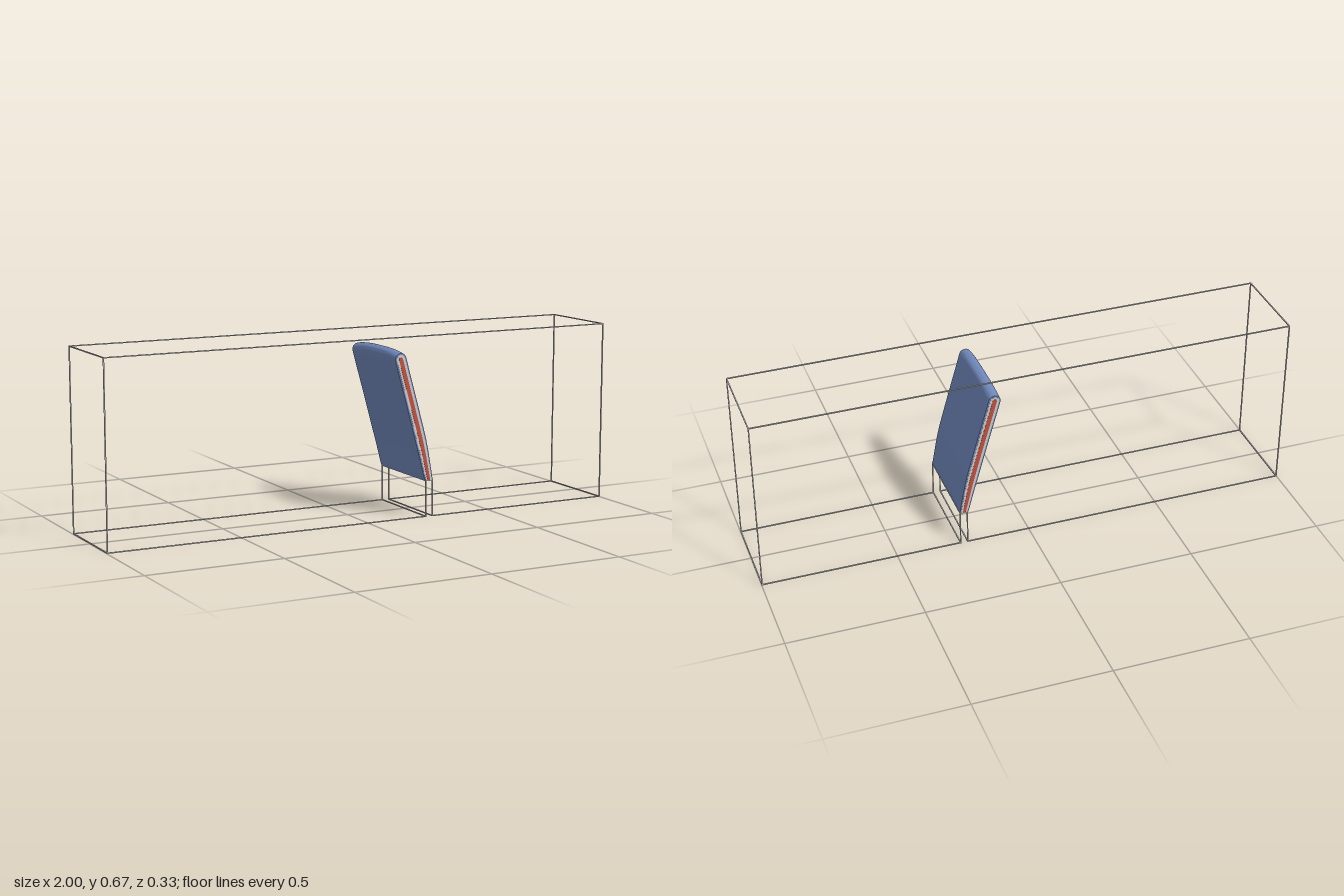
import * as THREE from 'three';
import { toCreasedNormals } from 'three/addons/utils/BufferGeometryUtils.js';

const W = 1, H = 0.667, D = 0.1667;          // half length, height, half depth of the frame
const BAR = 0.004;                            // thickness of the frame wires
const NOTCH = { x0: 0.235, x1: 0.262, y: 0.135 };

const mat = (color) => new THREE.MeshStandardMaterial({ color });

// Centre line of the leaning plate, from its foot to the middle of its round tip
const spine = new THREE.CatmullRomCurve3([
  new THREE.Vector3(0.247, 0.135, 0),
  new THREE.Vector3(0.222, 0.26, 0),
  new THREE.Vector3(0.183, 0.41, 0),
  new THREE.Vector3(0.129, 0.597, 0),
]);

// Outline around the spine: up one side, round the tip, down the other
function plateShape(scale) {
  const n = 20, right = [], left = [], tip = [];
  for (let i = 0; i <= n; i++) {
    const t = i / n, p = spine.getPoint(t), d = spine.getTangent(t);
    const r = scale * (0.016 + 0.006 * Math.min(1, t * 2.5));
    right.push(new THREE.Vector2(p.x + d.y * r, i ? p.y - d.x * r : NOTCH.y));
    left.unshift(new THREE.Vector2(p.x - d.y * r, i ? p.y + d.x * r : NOTCH.y));
    if (i === n) {
      const a0 = Math.atan2(-d.x, d.y);
      for (let k = 1; k < 12; k++) {
        const a = a0 + (Math.PI * k) / 12;
        tip.push(new THREE.Vector2(p.x + Math.cos(a) * r, p.y + Math.sin(a) * r));
      }
    }
  }
  return new THREE.Shape([...right, ...tip, ...left]);
}

// One layer of the plate; inner layers reach slightly further so they show at the ends and foot
function plateLayer(name, color, scale, reach) {
  const half = 0.165 + reach;
  const geo = new THREE.ExtrudeGeometry(plateShape(scale), {
    depth: 2 * half, steps: 16, bevelEnabled: false,
  });
  geo.translate(0, -reach, -half);
  const pos = geo.attributes.position;
  for (let i = 0; i < pos.count; i++) {
    // The plate sags a little towards both ends
    const up = Math.max(0, (pos.getY(i) - NOTCH.y) / 0.48);
    const edge = Math.abs(pos.getZ(i) / half) ** 3;
    pos.setY(i, pos.getY(i) - 0.011 * up * edge);
    pos.setX(i, pos.getX(i) - 0.003 * up * (1 - up) * 4 * edge);
  }
  const mesh = new THREE.Mesh(toCreasedNormals(geo, 0.6), mat(color));
  mesh.name = name;
  return mesh;
}

// Thin straight wire along one axis between two points
function wire(a, b, material) {
  const size = b.map((v, i) => Math.abs(v - a[i]) + BAR);
  const mesh = new THREE.Mesh(new THREE.BoxGeometry(...size), material);
  mesh.position.set(...a.map((v, i) => (v + b[i]) / 2));
  mesh.name = 'frameWire';
  return mesh;
}

export function createModel() {
  const model = new THREE.Group();

  // Leaning plate: blue skin, pale middle layer, red core
  const plate = new THREE.Group();
  plate.name = 'leaningPlate';
  plate.add(
    plateLayer('plateSkin', 0x7088bb, 1, 0),
    plateLayer('plateMiddle', 0xcccccc, 0.75, 0.0006),
    plateLayer('plateCore', 0xc0503f, 0.36, 0.0012),
  );
  model.add(plate);

  // Wire frame of a long box whose floor steps up under the plate
  const frame = new THREE.Group();
  frame.name = 'boxFrame';
  const grey = mat(0xcccccc);
  const h = BAR / 2, z = D - h;
  const corners = [
    [-W + h, h], [NOTCH.x0, h], [NOTCH.x0, NOTCH.y], [NOTCH.x1, NOTCH.y],
    [NOTCH.x1, h], [W - h, h], [W - h, H - h], [-W + h, H - h],
  ];
  corners.forEach((c, i) => {
    const next = corners[(i + 1) % corners.length];
    for (const s of [-z, z]) frame.add(wire([...c, s], [...next, s], grey));
    frame.add(wire([...c, -z], [...c, z], grey));
  });
  model.add(frame);

  return model;
}
